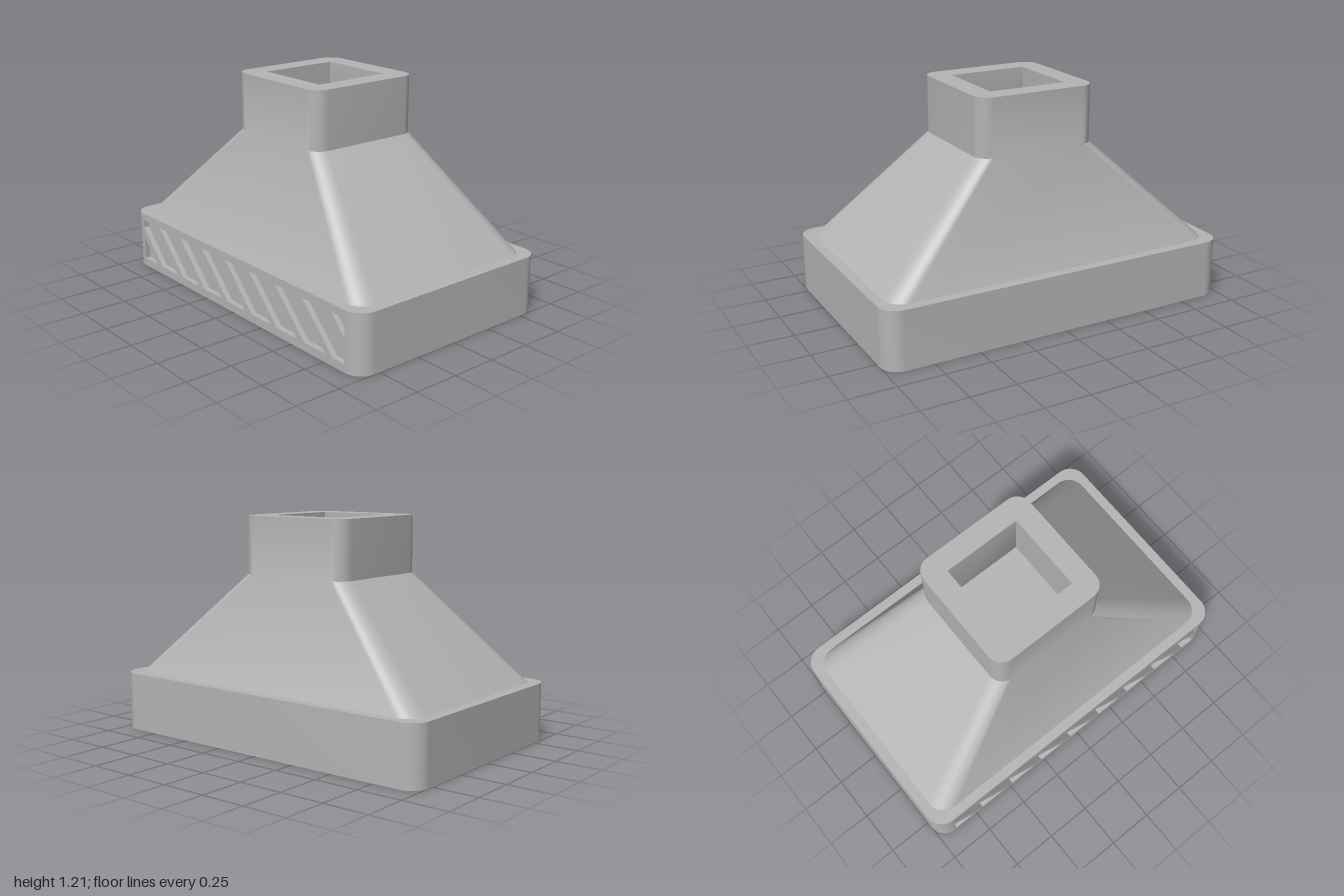
import * as THREE from 'three';
import { toCreasedNormals } from 'three/addons/utils/BufferGeometryUtils.js';

const CREASE = Math.PI / 6;
const BASE_H = 0.32, HX = 1, HZ = 0.63, R = 0.1, RECESS = 0.03;

// Rounded rectangle ring at height y
function ring([hx, hz, r, y], seg = 8) {
  const pts = [];
  [[1, 1], [-1, 1], [-1, -1], [1, -1]].forEach(([sx, sz], q) => {
    for (let i = 0; i <= seg; i++) {
      const a = (q + i / seg) * Math.PI / 2;
      pts.push(new THREE.Vector3(sx * (hx - r) + r * Math.cos(a), y, sz * (hz - r) + r * Math.sin(a)));
    }
  });
  return pts;
}

// Skin joining successive rings, skipping empty triangles
function loft(sections) {
  const rings = sections.map((s) => ring(s));
  const pos = [];
  const tri = (a, b, c) => {
    if (new THREE.Triangle(a, b, c).getArea() < 1e-7) return;
    for (const p of [a, b, c]) pos.push(p.x, p.y, p.z);
  };
  for (let k = 0; k < rings.length - 1; k++) {
    const a = rings[k], b = rings[k + 1];
    for (let i = 0; i < a.length; i++) {
      const j = (i + 1) % a.length;
      tri(a[i], b[i], a[j]);
      tri(a[j], b[i], b[j]);
    }
  }
  const geo = new THREE.BufferGeometry();
  geo.setAttribute('position', new THREE.Float32BufferAttribute(pos, 3));
  return toCreasedNormals(geo, CREASE);
}

// Keep the part of a polygon where side * x <= limit
function clipX(poly, side, limit) {
  const out = [];
  poly.forEach((p, i) => {
    const q = poly[(i + 1) % poly.length];
    const dp = limit - side * p.x, dq = limit - side * q.x;
    if (dp >= 0) out.push(p);
    if (dp * dq < 0) out.push(p.clone().lerp(q, dp / (dp - dq)));
  });
  return out;
}

// Base plan with a shallow notch along the front for the grille
function baseGeometry() {
  const s = new THREE.Shape();
  const x = HX - R, z = HZ - R;
  s.moveTo(x, HZ - RECESS);
  s.lineTo(x, HZ);
  s.absarc(x, z, R, Math.PI / 2, 0, true);
  s.absarc(x, -z, R, 0, -Math.PI / 2, true);
  s.absarc(-x, -z, R, -Math.PI / 2, -Math.PI, true);
  s.absarc(-x, z, R, Math.PI, Math.PI / 2, true);
  s.lineTo(-x, HZ - RECESS);
  s.closePath();
  const geo = new THREE.ExtrudeGeometry(s, { depth: BASE_H, bevelEnabled: false, curveSegments: 10 });
  geo.rotateX(Math.PI / 2).translate(0, BASE_H, 0);
  return toCreasedNormals(geo, CREASE);
}

// Front panel pierced by diagonal slots
function grilleGeometry() {
  const x = HX - R, lo = 0.045, hi = 0.278, limit = 0.895;
  const V = (a, b) => new THREE.Vector2(a, b);
  const s = new THREE.Shape([V(-x, 0), V(x, 0), V(x, BASE_H), V(-x, BASE_H)]);
  for (let k = -1; k <= 8; k++) {
    const a = -0.9385 + k * 0.217, b = a + 0.158, lean = hi - lo;
    let slot = [V(a, hi), V(a + lean, lo), V(b + lean, lo), V(b, hi)];
    slot = clipX(clipX(slot, 1, limit), -1, limit);
    if (slot.length > 2) s.holes.push(new THREE.Path(slot));
  }
  const geo = new THREE.ExtrudeGeometry(s, { depth: RECESS, bevelEnabled: false });
  return geo.translate(0, 0, HZ - RECESS);
}

export function createModel() {
  const model = new THREE.Group();
  model.name = 'ventHood';
  const grey = new THREE.MeshStandardMaterial({ color: 0xb4b4b4 });
  grey.name = 'plain grey';
  const add = (name, geo) => {
    const mesh = new THREE.Mesh(geo, grey);
    mesh.name = name;
    model.add(mesh);
  };

  add('base', baseGeometry());
  add('frontGrille', grilleGeometry());

  // Tapered hood, neck, rim and the hollow inside
  add('hoodAndNeck', loft([
    [0.945, 0.577, 0.1, BASE_H],
    [0.34, 0.34, 0.08, 0.895],
    [0.34, 0.34, 0.08, 1.21],
    [0.22, 0.22, 0, 1.21],
    [0.22, 0.22, 0, 0.88],
    [0.82, 0.46, 0, BASE_H],
  ]));
  return model;
}
